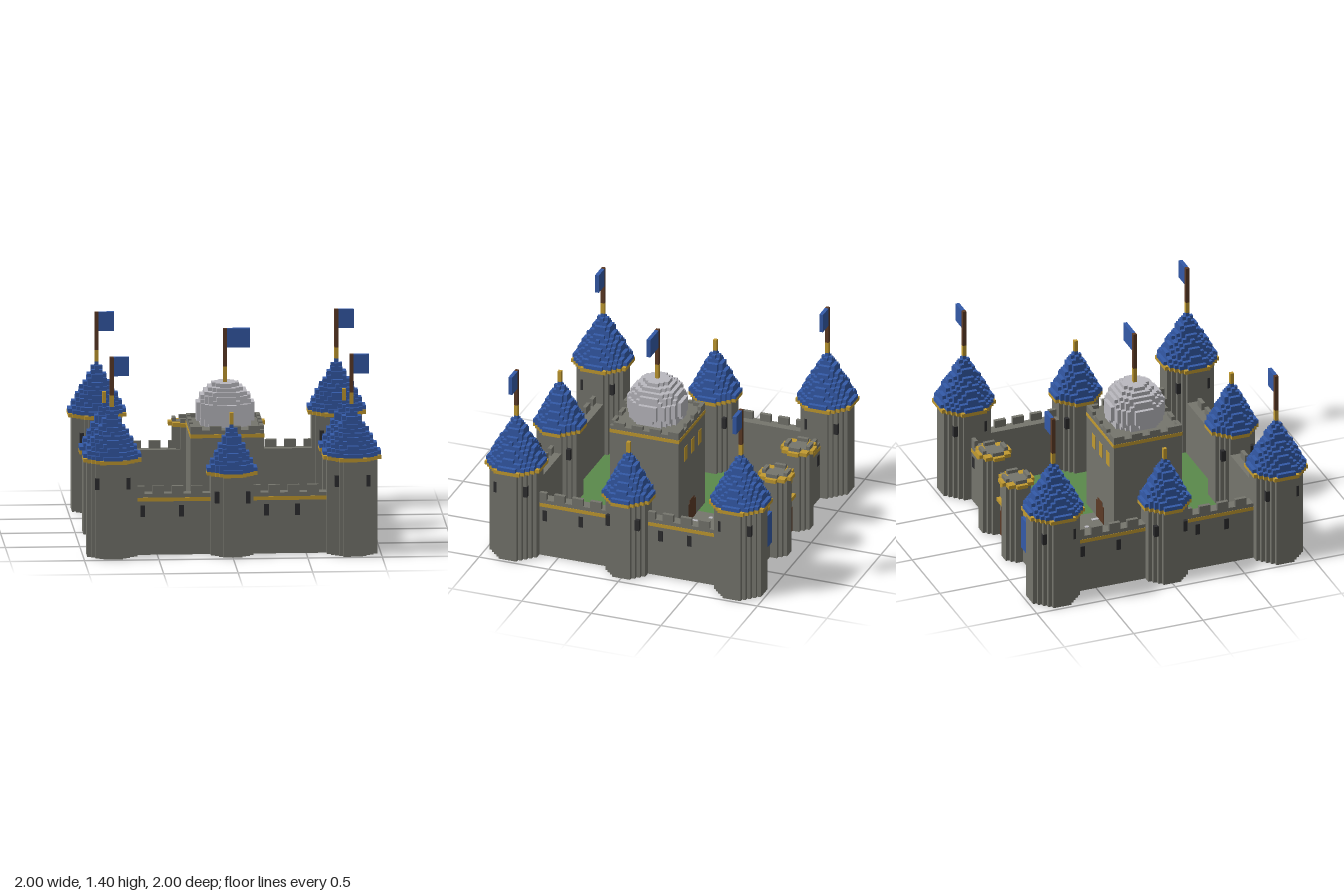
import * as THREE from 'three';
import { mergeGeometries } from 'three/addons/utils/BufferGeometryUtils.js';

const V = 2 / 77; // size of one block

const mat = (name, color) => {
  const m = new THREE.MeshStandardMaterial({ color });
  m.name = name;
  return m;
};

// Box spanning whole blocks x0..x1, y0..y1, z0..z1 (inclusive), grown by g blocks in x and z
function span(x0, x1, y0, y1, z0, z1, g = 0) {
  const b = new THREE.BoxGeometry((x1 - x0 + 1 + 2 * g) * V, (y1 - y0 + 1) * V, (z1 - z0 + 1 + 2 * g) * V);
  return b.translate((x0 + x1) / 2 * V, (y0 + y1 + 1) / 2 * V, (z0 + z1) / 2 * V);
}

// Stepped round slab made from one strip per row of blocks
function disc(r, y0, y1, cz = 0) {
  const out = [];
  for (let z = -Math.floor(r); z <= r; z++) {
    const h = Math.floor(Math.sqrt(r * r - z * z));
    out.push(span(-h, h, y0, y1, z + cz, z + cz));
  }
  return out;
}

function add(group, name, material, boxes) {
  const mesh = new THREE.Mesh(mergeGeometries(boxes), material);
  mesh.name = name;
  group.add(mesh);
  return mesh;
}

function place(parent, group, name, x, z, turn = 0) {
  group.name = name;
  group.position.set(x * V, 0, z * V);
  group.rotation.y = turn;
  parent.add(group);
}

const tooth = (i) => (i + 100) % 5 < 3; // three blocks on, two off

export function createModel() {
  const stone = mat('stone', 0x75756d);
  const gold = mat('gold', 0xc29a30);
  const blue = mat('roofBlue', 0x345aa8);
  const pale = mat('paleStone', 0xbab9bf);
  const wood = mat('wood', 0x5c3a26);
  const grass = mat('grass', 0x5a8a4b);
  const dark = mat('slitDark', 0x2d2d2f);
  const castle = new THREE.Group();
  castle.name = 'castle';

  // Flag on a pole, flying towards +x
  function flag(g, y, length, z = 0) {
    add(g, 'flagPole', wood, [span(0, 0, y, y + 9, z, z)]);
    add(g, 'flag', blue, [span(1, length, y + 5, y + 9, z, z)]);
  }

  // Round tower with a gold eave and a stepped cone roof
  function tower({ r, top, eave, roof, layers, slit }) {
    const g = new THREE.Group();
    add(g, 'towerBody', stone, disc(r, 0, top - 1));
    add(g, 'eave', gold, disc(eave, top, top));
    const steps = [];
    for (let i = 0; i < layers; i++) steps.push(...disc((roof - 0.2) * (1 - i / layers) + 0.2, top + 1 + i, top + 1 + i));
    add(g, 'coneRoof', blue, steps);
    add(g, 'finial', gold, [span(0, 0, top + 1 + layers, top + 3 + layers, 0, 0)]);
    const slits = [];
    for (const x of [-4, 4]) for (const z of [-4, 4]) slits.push(span(x, x, slit, slit + 2, z, z, 0.08));
    add(g, 'arrowSlits', dark, slits);
    return g;
  }

  // Corner towers
  for (const x of [-31, 31]) for (const z of [-31, 31]) {
    const g = tower({ r: 6.4, top: 25, eave: 7.7, roof: 7.35, layers: 13, slit: 18 });
    flag(g, 42, 4);
    place(castle, g, 'cornerTower', x, z);
  }
  // Middle towers on the front and both sides
  for (const [x, z] of [[0, 31], [31, 0], [-31, 0]]) {
    place(castle, tower({ r: 5.4, top: 21, eave: 6.4, roof: 6.4, layers: 12, slit: 14 }), 'middleTower', x, z);
  }

  // Four curtain walls, each built facing +z and turned into place
  for (let side = 0; side < 4; side++) {
    const g = new THREE.Group();
    const teeth = [];
    for (let x = -27; x <= 27; x++) if (tooth(x)) teeth.push(span(x, x, 16, 17, 31, 31));
    add(g, 'wallBody', stone, [span(-31, 31, 0, 15, 29, 31)]);
    add(g, 'battlements', stone, teeth);
    add(g, 'goldBand', gold, [span(-27, 27, 14, 14, 31, 31, 0.08)]);
    const slits = side === 2 ? [-23, 23] : [-23, -13, 9, 17];
    add(g, 'arrowSlits', dark, slits.map((x) => span(x, x, 10, 12, 31, 31, 0.12)));
    place(castle, g, 'curtainWall', 0, 0, side * Math.PI / 2);
  }

  // Arched rows of blocks for doors
  const arch = (half, straight, z0, z1) => {
    const rows = [span(-half, half, 0, straight - 1, z0, z1, 0.1)];
    for (let i = 0; i <= half; i++) {
      const h = Math.floor(Math.sqrt((half + 0.4) ** 2 - i * i));
      rows.push(span(-h, h, straight + i, straight + i, z0, z1, 0.1));
    }
    return rows;
  };

  // Gatehouse at the back: door, lintel, two turrets and banners
  const gate = new THREE.Group();
  add(gate, 'gateDoor', wood, arch(4, 5, -31, -29));
  add(gate, 'gateLintel', gold, [span(-4, 4, 10, 10, -32, -32)]);
  for (const s of [-1, 1]) {
    const t = new THREE.Group();
    add(t, 'turretBody', stone, disc(3.4, 0, 21));
    add(t, 'turretCrown', gold, disc(4.4, 22, 22));
    add(t, 'turretFloor', stone, disc(2.5, 22, 22).map((b) => b.translate(0, 0.1 * V, 0)));
    const teeth = [];
    for (const [x, z] of [[3, 0], [-3, 0], [0, 3], [0, -3]]) {
      const w = x ? 0 : 1, d = z ? 0 : 1;
      teeth.push(span(x - w, x + w, 23, 23, z - d, z + d));
    }
    add(t, 'turretBattlements', stone, teeth);
    place(gate, t, 'gateTurret', 8 * s, -32);
    add(gate, 'banner', blue, [span(14.5 * s - 1.5, 14.5 * s + 1.5, 5, 13, -32, -32)]);
  }
  place(castle, gate, 'gatehouse', 0, 0);

  // Courtyard lawn and the paved path from gate to keep
  const yard = new THREE.Group();
  add(yard, 'lawn', grass, [
    span(-28, -5, 0, 0, -28, -6), span(5, 28, 0, 0, -28, -6),
    span(-28, -10, 0, 0, -5, 13), span(10, 28, 0, 0, -5, 13),
    span(-28, 28, 0, 0, 14, 28),
  ]);
  add(yard, 'path', stone, [span(-4, 4, 0, 0, -28, -6)]);
  const slabs = [[1, 4, -25, -25], [1, 1, -19, -17], [1, 1, -20, -20], [4, 4, -13, -13], [-2, -2, -10, -10], [1, 1, -7, -6]];
  add(yard, 'pathStones', pale, slabs.map(([a, b, c, d]) => span(a, b, 0, 0, c, d).translate(0, 0.1 * V, 0)));
  place(castle, yard, 'courtyard', 0, 0);

  // Square keep with dome, built about its own centre
  const keep = new THREE.Group();
  add(keep, 'keepBody', stone, [span(-9, 9, 0, 28, -9, 9)]);
  add(keep, 'keepBand', gold, [span(-9, 9, 27, 27, -9, 9, 0.08)]);
  const teeth = [];
  for (let i = -9; i <= 9; i++) {
    if (!tooth(i + 9)) continue;
    for (const s of [-9, 9]) teeth.push(span(i, i, 29, 29, s, s), span(s, s, 29, 29, i, i));
  }
  add(keep, 'keepBattlements', stone, teeth);
  const dome = [];
  for (let y = 29; y < 40; y++) dome.push(...disc(Math.sqrt(7.5 ** 2 - (y - 32.3) ** 2), y, y));
  add(keep, 'dome', pale, dome);
  add(keep, 'domeFinial', gold, [span(0, 0, 40, 43, 0, 0)]);
  flag(keep, 44, 6);
  add(keep, 'keepDoor', wood, arch(2, 4, -9, -9));
  add(keep, 'keepWindows', gold, [-5, 0, 5].map((x) => span(x - 1, x, 20, 23, -9, -9, 0.1)));
  place(castle, keep, 'keep', 0, 4);

  return castle;
}
